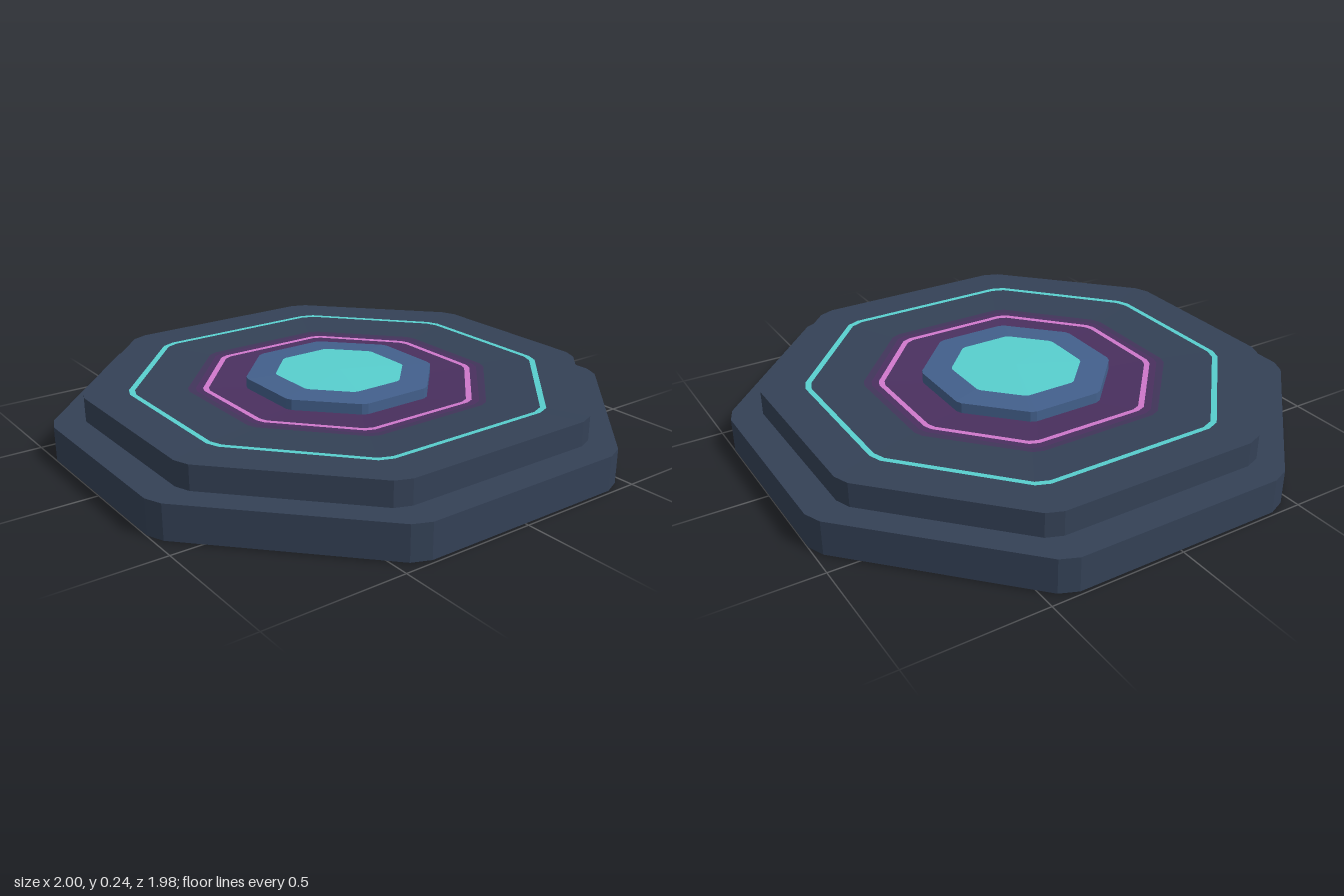
import * as THREE from 'three';

const mat = (name, color) => {
  const m = new THREE.MeshStandardMaterial({ color });
  m.name = name;
  return m;
};

// Octagon ring with clipped corners: half width, half depth, corner x, corner z, height
function ring([hx, hz, cx, cz, y], clip = 0.045) {
  const corners = [[hx, cz], [cx, hz], [-cx, hz], [-hx, cz], [-hx, -cz], [-cx, -hz], [cx, -hz], [hx, -cz]];
  const out = [];
  corners.forEach((c, i) => {
    const prev = corners[(i + 7) % 8], next = corners[(i + 1) % 8];
    for (const o of [prev, next]) {
      out.push([c[0] + (o[0] - c[0]) * clip, y, c[1] + (o[1] - c[1]) * clip]);
    }
  });
  return out;
}

// Flat-faced skin through rings, listed from the bottom, up the outside and then inward
function loft(name, profile, material) {
  const rings = profile.map((p) => ring(p));
  const pos = [];
  for (let r = 0; r < rings.length - 1; r++) {
    const lo = rings[r], hi = rings[r + 1], n = lo.length;
    for (let i = 0; i < n; i++) {
      const j = (i + 1) % n;
      if (profile[r][0] > 0) pos.push(...lo[i], ...hi[i], ...lo[j]);
      if (profile[r + 1][0] > 0) pos.push(...lo[j], ...hi[i], ...hi[j]);
    }
  }
  const geo = new THREE.BufferGeometry();
  geo.setAttribute('position', new THREE.Float32BufferAttribute(pos, 3));
  geo.computeVertexNormals();
  const mesh = new THREE.Mesh(geo, material);
  mesh.name = name;
  return mesh;
}

export function createModel() {
  const slate = mat('slate', 0x344156);
  const blue = mat('steelBlue', 0x43608c);
  const cyan = mat('cyan', 0x58cfce);
  const pink = mat('pink', 0xcf78cb);
  const purple = mat('purple', 0x4a305f);
  const dimPurple = mat('dimPurple', 0x41355a);

  const centre = (y) => [0, 0, 0, 0, y];
  const at = (y, [hx, hz, cx, cz]) => [hx, hz, cx, cz, y];

  // Outlines of the steps and inlaid lines
  const base = [1, 0.99, 0.43, 0.385];
  const tier = [0.885, 0.875, 0.41, 0.365];
  const cyanOut = [0.735, 0.725, 0.355, 0.3];
  const cyanIn = [0.715, 0.705, 0.345, 0.29];
  const glowOut = [0.535, 0.535, 0.25, 0.22];
  const glowMid = [0.51, 0.51, 0.24, 0.205];
  const pinkOut = [0.485, 0.482, 0.23, 0.195];
  const pinkIn = [0.465, 0.462, 0.22, 0.187];
  const pedestal = [0.33, 0.34, 0.14, 0.14];
  const disc = [0.225, 0.232, 0.1, 0.1];
  const patch = [0.27, 0.25, 0.11, 0.1];

  const g = new THREE.Group();
  g.name = 'steppedPlatform';
  g.add(
    // Two steps, the upper one open for the dished deck
    loft('baseStep', [centre(0.003), at(0.003, base), at(0.13, base), at(0.13, tier)], slate),
    loft('upperStep', [at(0.13, tier), at(0.22, tier), at(0.217, cyanOut)], slate),
    // Deck bands, sinking gently toward the pedestal
    loft('cyanLine', [at(0.217, cyanOut), at(0.216, cyanIn)], cyan),
    loft('deck', [at(0.216, cyanIn), at(0.207, glowOut)], slate),
    loft('outerGlow', [at(0.207, glowOut), at(0.206, glowMid)], dimPurple),
    loft('glow', [at(0.206, glowMid), at(0.205, pinkOut)], purple),
    loft('pinkLine', [at(0.205, pinkOut), at(0.204, pinkIn)], pink),
    loft('innerGlow', [at(0.204, pinkIn), at(0.195, pedestal)], purple),
    // Raised centre
    loft('pedestal', [at(0.195, pedestal), at(0.234, pedestal), at(0.238, disc)], blue),
    loft('centreDisc', [at(0.238, disc), centre(0.239)], cyan),
    // Plate under the base
    loft('undersidePlate', [centre(0), at(0, patch), at(0.003, patch)], blue),
  );
  return g;
}
